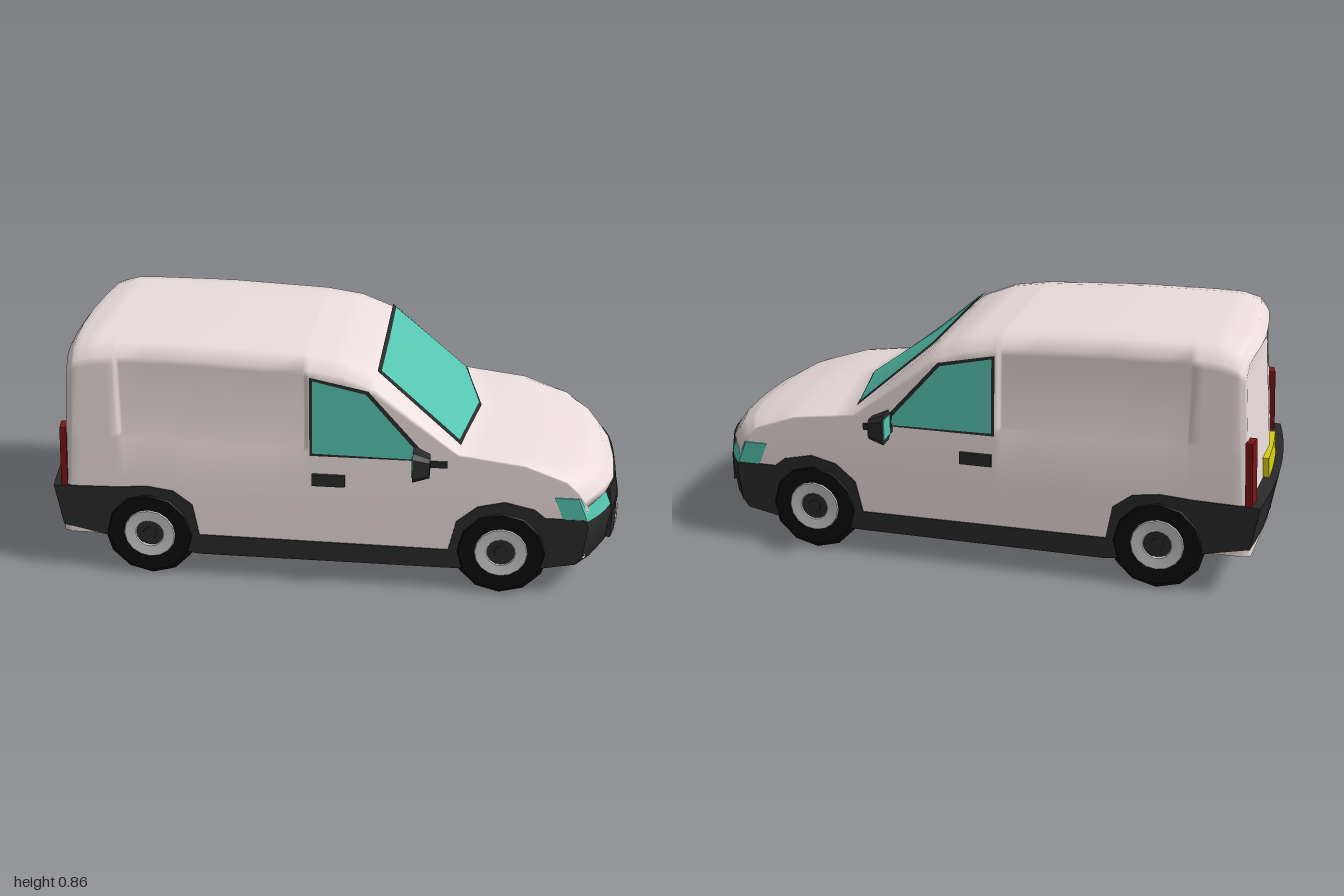
import * as THREE from 'three';
import { toCreasedNormals } from 'three/addons/utils/BufferGeometryUtils.js';

const mat = (color) => new THREE.MeshStandardMaterial({ color, side: THREE.DoubleSide });
const paint = mat(0xeadcdc), glass = mat(0x55c4b0), trim = mat(0x2a2a2a), tyre = mat(0x0b0b0b);
const metal = mat(0xcccccc), red = mat(0x7a1515), yellow = mat(0xd8cc10);

const clamp = (v) => Math.min(1, Math.max(0, v));
// Half width of the body side at height y
const sideZ = (y) => 0.39 - Math.max(0, y - 0.33) * 0.035;

// Rounds the nose and tail in plan
function bendX(x, z) {
  const t = Math.abs(z) / 0.39;
  return x - clamp((x - 0.7) / 0.25) * 0.11 * t ** 3 + clamp((-x - 0.8) / 0.13) * 0.035 * t * t;
}

function add(group, name, geo, material) {
  const mesh = new THREE.Mesh(geo, material);
  mesh.name = name;
  group.add(mesh);
  return mesh;
}

// Moves every vertex by a rule and refreshes the normals
function deform(geo, rule) {
  const p = geo.attributes.position, v = new THREE.Vector3();
  for (let i = 0; i < p.count; i++) {
    rule(v.fromBufferAttribute(p, i));
    p.setXYZ(i, v.x, v.y, v.z);
  }
  return toCreasedNormals(geo, 0.6);
}

// Box between limits that follows the curved nose or tail; lean slopes it with height
function bentBox([x0, x1], [y0, y1], [z0, z1], lean = 0) {
  const geo = new THREE.BoxGeometry(x1 - x0, y1 - y0, z1 - z0, 1, 1, 8);
  geo.translate((x0 + x1) / 2, (y0 + y1) / 2, (z0 + z1) / 2);
  return deform(geo, (v) => { v.x = bendX(v.x, v.z) + lean * (v.y - y0); });
}

function box([x0, x1], [y0, y1], [z0, z1]) {
  return new THREE.BoxGeometry(x1 - x0, y1 - y0, z1 - z0)
    .translate((x0 + x1) / 2, (y0 + y1) / 2, (z0 + z1) / 2);
}

const shapeOf = (pts) => new THREE.Shape(pts.map(([x, y]) => new THREE.Vector2(x, y)));

// Flat panel lying on the body side
function sidePanel(pts, side, lift) {
  const geo = new THREE.ShapeGeometry(shapeOf(pts));
  return deform(geo, (v) => { v.z = side * (sideZ(v.y) + lift); });
}

// Cross-section of the shell at one station
function section([x, top, belt, w = 1, bow = 0]) {
  const h = top - belt;
  const rows = [[0.15, 0], [Math.min(0.33, belt - 0.02), 0], [belt, 0], [belt + 0.05 * h, 0],
    [belt + 0.78 * h, 0], [belt + 0.86 * h, 0], [belt + 0.975 * h, 0.04], [top, 0.1], [top, 0.22], [top, 0.38]];
  const half = rows.map(([y, inset], j) => {
    let z = (sideZ(y) - inset) * w;
    if (j === rows.length - 1) z = 0;
    // Pressed panel in the cargo side
    if ((j === 3 || j === 4) && x > -0.72 && x < -0.08) z -= 0.018;
    const lean = clamp((-x - 0.8) / 0.13) * 0.085 * (y - 0.33);
    return new THREE.Vector3(bendX(x, z) + lean + bow * clamp(1 - z / 0.33), y, z);
  });
  const other = half.slice(0, -1).reverse().map((p) => new THREE.Vector3(p.x, p.y, -p.z));
  return half.concat(other);
}

// Painted shell: loft from tail to nose
function bodyShell() {
  const stations = [
    [-0.955, 0.79, 0.5, 0], [-0.955, 0.8, 0.5, 0.97], [-0.93, 0.837, 0.5], [-0.8, 0.855, 0.5],
    [-0.73, 0.857, 0.52], [-0.71, 0.857, 0.52], [-0.45, 0.857, 0.51], [-0.09, 0.84, 0.5],
    [-0.07, 0.837, 0.5], [0.04, 0.82, 0.49], [0.15, 0.775, 0.48], [0.43, 0.53, 0.44, 1, 0.06],
    [0.65, 0.5, 0.42, 1, 0.02], [0.86, 0.448, 0.37], [0.93, 0.41, 0.34], [0.97, 0.355, 0.3, 0.98],
    [0.97, 0.355, 0.3, 0],
  ].map(section);
  const rings = [stations[0]], split = 3;
  for (let i = 1; i < stations.length; i++)
    for (let s = 1; s <= split; s++)
      rings.push(stations[i].map((p, j) => stations[i - 1][j].clone().lerp(p, s / split)));
  const n = rings[0].length, index = [];
  for (let i = 0; i < rings.length - 1; i++)
    for (let j = 0; j < n - 1; j++) {
      const a = i * n + j, b = a + n;
      index.push(a, b, b + 1, a, b + 1, a + 1);
    }
  const geo = new THREE.BufferGeometry().setFromPoints(rings.flat());
  geo.setIndex(index);
  geo.computeVertexNormals();
  return geo;
}

// Windscreen patch, bowed forward along its lower edge
function windscreen(grow, lift) {
  const geo = new THREE.PlaneGeometry(2, 1, 8, 6);
  return deform(geo, (v) => {
    const s = v.x, t = 0.5 - v.y;
    const k = 0.03 - grow + t * (0.95 + 2 * grow);
    const z = -s * (0.308 + 0.015 * t + grow * 0.5);
    const bow = 0.06 * k * clamp(1 - Math.abs(z) / 0.33);
    v.set(0.15 + 0.28 * k + bow + lift * 0.6, 0.775 - 0.245 * k + lift * 0.8, z);
  });
}

// Dark lower body with bumpers, arches and floor
function lowerBody() {
  const outline = shapeOf([
    [-0.995, 0.33], [-0.97, 0.18], [-0.8, 0.15], [-0.46, 0.09], [0.41, 0.09], [0.72, 0.105], [0.95, 0.13],
    [0.97, 0.16], [0.985, 0.27], [0.975, 0.3], [0.75, 0.3], [0.69, 0.33], [0.59, 0.352], [0.5, 0.33],
    [0.43, 0.27], [0.405, 0.16], [-0.455, 0.165], [-0.475, 0.28], [-0.54, 0.33], [-0.63, 0.343], [-0.74, 0.335],
  ]);
  const geo = new THREE.ExtrudeGeometry(outline, { depth: 0.788, steps: 12, bevelEnabled: false });
  geo.translate(0, 0, -0.394);
  return deform(geo, (v) => { v.x = bendX(v.x, v.z); });
}

function lathe(points, sides, side) {
  const geo = new THREE.LatheGeometry(points.map(([r, y]) => new THREE.Vector2(r, y)), sides);
  return toCreasedNormals(geo.rotateX(side * Math.PI / 2), 0.6);
}

function wheel(side) {
  const g = new THREE.Group();
  g.name = 'wheel';
  add(g, 'tyre', lathe([[0, -0.06], [0.15, -0.06], [0.162, -0.045], [0.162, 0.045], [0.145, 0.06], [0.09, 0.058], [0, 0.05]], 12, side), tyre);
  add(g, 'rim', lathe([[0.092, 0.055], [0.088, 0.063], [0.05, 0.06], [0.045, 0.053]], 16, side), metal);
  add(g, 'hub', lathe([[0.026, 0.05], [0.022, 0.058], [0, 0.059]], 10, side), trim);
  return g;
}

function mirror(side) {
  const g = new THREE.Group();
  g.name = 'wingMirror';
  const housing = shapeOf([[0.42, 0.48], [0.44, 0.462], [0.495, 0.462], [0.51, 0.48],
    [0.51, 0.55], [0.495, 0.568], [0.435, 0.568], [0.42, 0.545]]);
  const geo = new THREE.ExtrudeGeometry(housing, { depth: 0.055, bevelEnabled: false });
  // Housing narrows towards its front
  add(g, 'mirrorHousing', deform(geo, (v) => {
    const f = 1 - 0.35 * v.z / 0.055;
    v.set(0.285 + v.z, 0.5 + (v.y - 0.5) * f, side * (0.462 + (v.x - 0.462) * f));
  }), trim);
  add(g, 'mirrorGlass', box([0.281, 0.286], [0.48, 0.55], [side * 0.465 - 0.032, side * 0.465 + 0.032]), glass);
  add(g, 'mirrorArm', box([0.29, 0.335], [0.47, 0.5], [side * 0.405 - 0.03, side * 0.405 + 0.03]), trim);
  add(g, 'mirrorFoot', box([0.3, 0.395], [0.468, 0.49], [side * 0.38 - 0.012, side * 0.38 + 0.012]), trim);
  return g;
}

export function createModel() {
  const van = new THREE.Group();
  van.name = 'van';
  add(van, 'bodyShell', bodyShell(), paint);
  add(van, 'lowerBody', lowerBody(), trim);
  add(van, 'windscreenSeal', windscreen(0.03, 0.005), trim);
  add(van, 'windscreen', windscreen(0, 0.009), glass);

  // Nose and tail details
  add(van, 'grille', bentBox([0.88, 0.985], [0.28, 0.355], [-0.25, 0.25], -0.15), trim);
  add(van, 'frontPlateFrame', bentBox([0.96, 0.988], [0.165, 0.268], [-0.25, 0.25]), trim);
  add(van, 'frontPlate', bentBox([0.97, 0.992], [0.182, 0.25], [-0.17, 0.17]), paint);
  add(van, 'rearPlate', bentBox([-0.968, -0.94], [0.33, 0.4], [-0.13, 0.13], 0.085), yellow);

  for (const side of [1, -1]) {
    const span = (a, b) => (side > 0 ? [a, b] : [-b, -a]);
    add(van, 'headlight', bentBox([0.86, 0.98], [0.295, 0.378], span(0.24, 0.393), -0.4), glass);
    add(van, 'tailLight', bentBox([-0.968, -0.945], [0.33, 0.55], span(0.335, 0.391), 0.05), red);
    add(van, 'windowSeal', sidePanel([[-0.068, 0.488], [0.315, 0.488], [0.305, 0.53], [0.128, 0.728], [-0.068, 0.768]], side, 0.003), trim);
    add(van, 'sideWindow', sidePanel([[-0.058, 0.498], [0.295, 0.494], [0.288, 0.528], [0.12, 0.718], [-0.058, 0.757]], side, 0.006), glass);
    add(van, 'doorHandle', box([-0.06, 0.052], [0.38, 0.422], span(0.38, 0.398)), trim);
    van.add(mirror(side));
    for (const x of [-0.63, 0.585]) {
      const w = wheel(side);
      w.position.set(x, 0.162, side * 0.338);
      van.add(w);
    }
  }
  return van;
}
